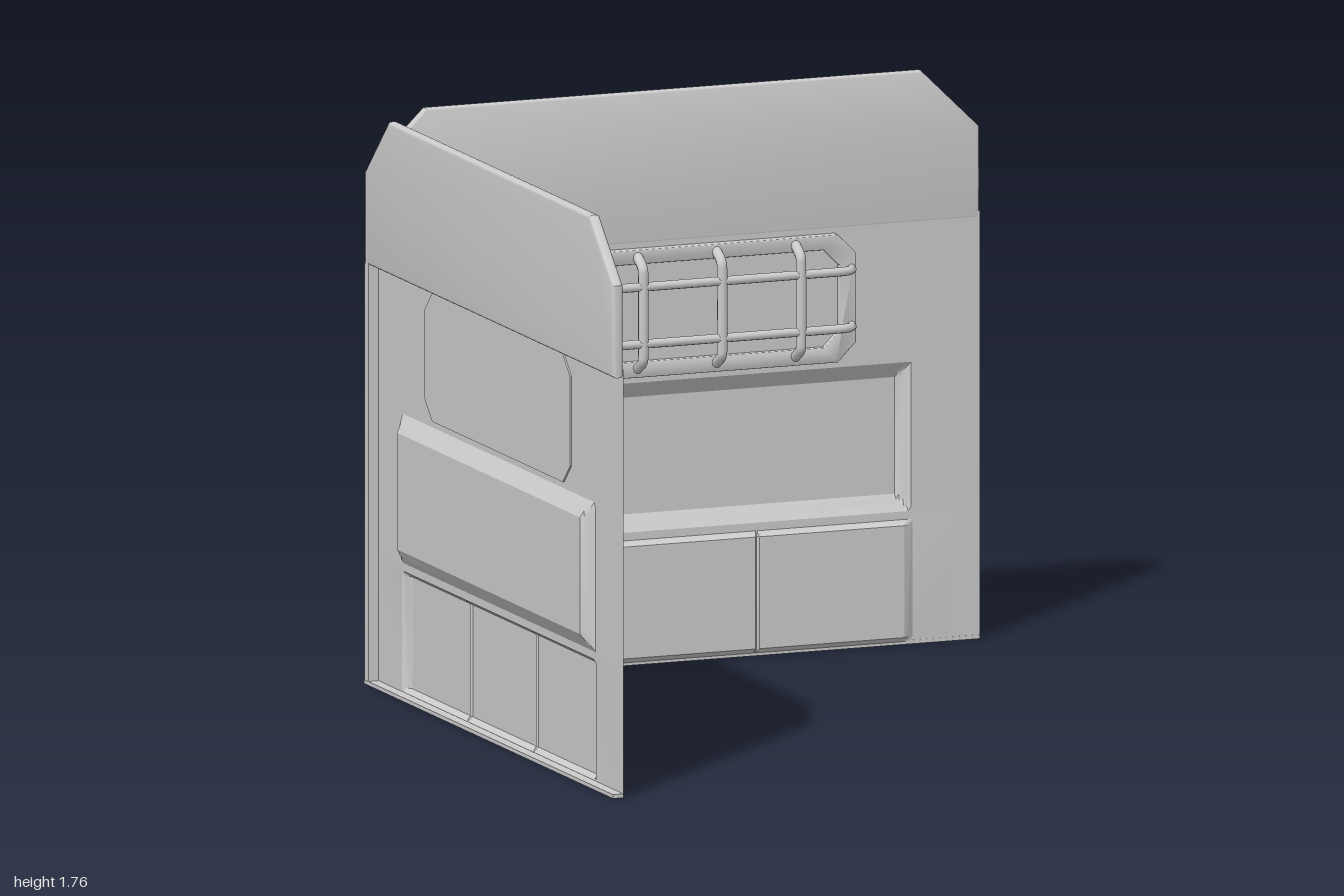
import * as THREE from 'three';
import { toCreasedNormals } from 'three/addons/utils/BufferGeometryUtils.js';

const INNER = -0.965; // inner face of each wall
const grey = new THREE.MeshStandardMaterial({ color: 0xcccccc });
const greyThin = new THREE.MeshStandardMaterial({ color: 0xcccccc, side: THREE.DoubleSide });

function add(parent, name, geometry, material = grey) {
  const mesh = new THREE.Mesh(geometry, material);
  mesh.name = name;
  parent.add(mesh);
  return mesh;
}

const ramp = (v, a, b) => THREE.MathUtils.clamp((v - a) / (b - a), 0, 1);

// Inward (+) or outward (-) pressing of the sheet metal
function pressing(x, y) {
  const ax = Math.abs(x);
  const recess = Math.min(ramp(ax, 0.775, 0.735), ramp(y, 0.41, 0.46), ramp(y, 0.87, 0.82));
  const skirt = Math.min(ramp(ax, 0.78, 0.745), ramp(y, 0.008, 0.025), ramp(y, 0.385, 0.37));
  const seam = ramp(Math.abs(ax - 0.265), 0.006, 0);
  return -0.034 * recess + skirt * (0.02 - 0.007 * seam);
}

// Sheet with grid lines only where the pressing changes
function sheetGeometry() {
  const half = [0.259, 0.265, 0.271, 0.735, 0.745, 0.755, 0.765, 0.775, 0.78, 1];
  const xs = [...half.map((v) => -v).reverse(), ...half];
  const ys = [1.32, 0.87, 0.855, 0.84, 0.82, 0.46, 0.445, 0.425, 0.41, 0.385, 0.37, 0.025, 0.008, 0];
  const g = new THREE.PlaneGeometry(1, 1, xs.length - 1, ys.length - 1);
  const p = g.attributes.position;
  for (let i = 0; i < p.count; i++) {
    const x = xs[i % xs.length], y = ys[Math.floor(i / xs.length)];
    p.setXYZ(i, x, y, INNER - 0.001 + pressing(x, y));
  }
  return toCreasedNormals(g, 0.5);
}

// Rectangle with cut corners
function octagon(w, y0, y1, cut, Type = THREE.Shape) {
  return new Type([
    [-w + cut, y0], [w - cut, y0], [w, y0 + cut], [w, y1 - cut],
    [w - cut, y1], [-w + cut, y1], [-w, y1 - cut], [-w, y0 + cut],
  ].map(([x, y]) => new THREE.Vector2(x, y)));
}

function extrude(shape, z0, z1, bevel = 0) {
  const g = new THREE.ExtrudeGeometry(shape, {
    depth: z1 - z0 - 2 * bevel, bevelEnabled: bevel > 0, bevelSize: bevel,
    bevelThickness: bevel, bevelOffset: -bevel, bevelSegments: 4,
  });
  return toCreasedNormals(g.translate(0, 0, z0 + bevel), 0.6);
}

// Guard bar bent out from the frame and back again
function bar(points, radius) {
  const curve = new THREE.CatmullRomCurve3(points.map((q) => new THREE.Vector3(...q)), false, 'catmullrom', 0.15);
  return new THREE.TubeGeometry(curve, 48, radius, 10);
}

function createWall(name) {
  const wall = new THREE.Group();
  wall.name = name;

  add(wall, 'pressedSheet', sheetGeometry(), greyThin);

  // Thick upper slab with sloped top corners and rounded rim
  const slab = new THREE.Shape([
    [-1, 1.295], [1, 1.295], [1, 1.58], [0.81, 1.765], [-0.81, 1.765], [-1, 1.58],
  ].map(([x, y]) => new THREE.Vector2(x, y)));
  add(wall, 'upperSlab', extrude(slab, -1, INNER, 0.012));

  // Lip along the foot of the sheet
  add(wall, 'footLip', new THREE.BoxGeometry(2, 0.012, 0.035).translate(0, 0.006, -0.9825));

  // Window plate and frame
  add(wall, 'windowPlate', extrude(octagon(0.585, 0.89, 1.285, 0.06), -0.971, -0.953));
  const frame = octagon(0.585, 0.89, 1.285, 0.06);
  frame.holes.push(octagon(0.53, 0.94, 1.24, 0.05, THREE.Path));
  add(wall, 'windowFrame', extrude(frame, INNER, -0.938, 0.005));

  // Window guard
  const guard = new THREE.Group();
  guard.name = 'windowGuard';
  wall.add(guard);
  for (const y of [1.002, 1.178]) {
    add(guard, 'horizontalBar', bar([
      [-0.57, y, -0.945], [-0.565, y, -0.935], [-0.52, y, -0.898],
      [0.52, y, -0.898], [0.565, y, -0.935], [0.57, y, -0.945],
    ], 0.014));
  }
  for (const x of [-0.387, -0.129, 0.129, 0.387]) {
    add(guard, 'verticalBar', bar([
      [x, 0.917, -0.945], [x, 0.922, -0.935], [x, 0.955, -0.897],
      [x, 1.225, -0.897], [x, 1.258, -0.935], [x, 1.263, -0.945],
    ], 0.016));
  }
  return wall;
}

export function createModel() {
  const model = new THREE.Group();
  model.name = 'cornerWalls';

  model.add(createWall('backWall'));
  const side = createWall('sideWall');
  side.rotation.y = Math.PI / 2;
  model.add(side);

  // Post joining the two walls
  add(model, 'cornerPost', new THREE.BoxGeometry(0.033, 1.3, 0.033).translate(-0.9825, 0.65, -0.9825));
  return model;
}
